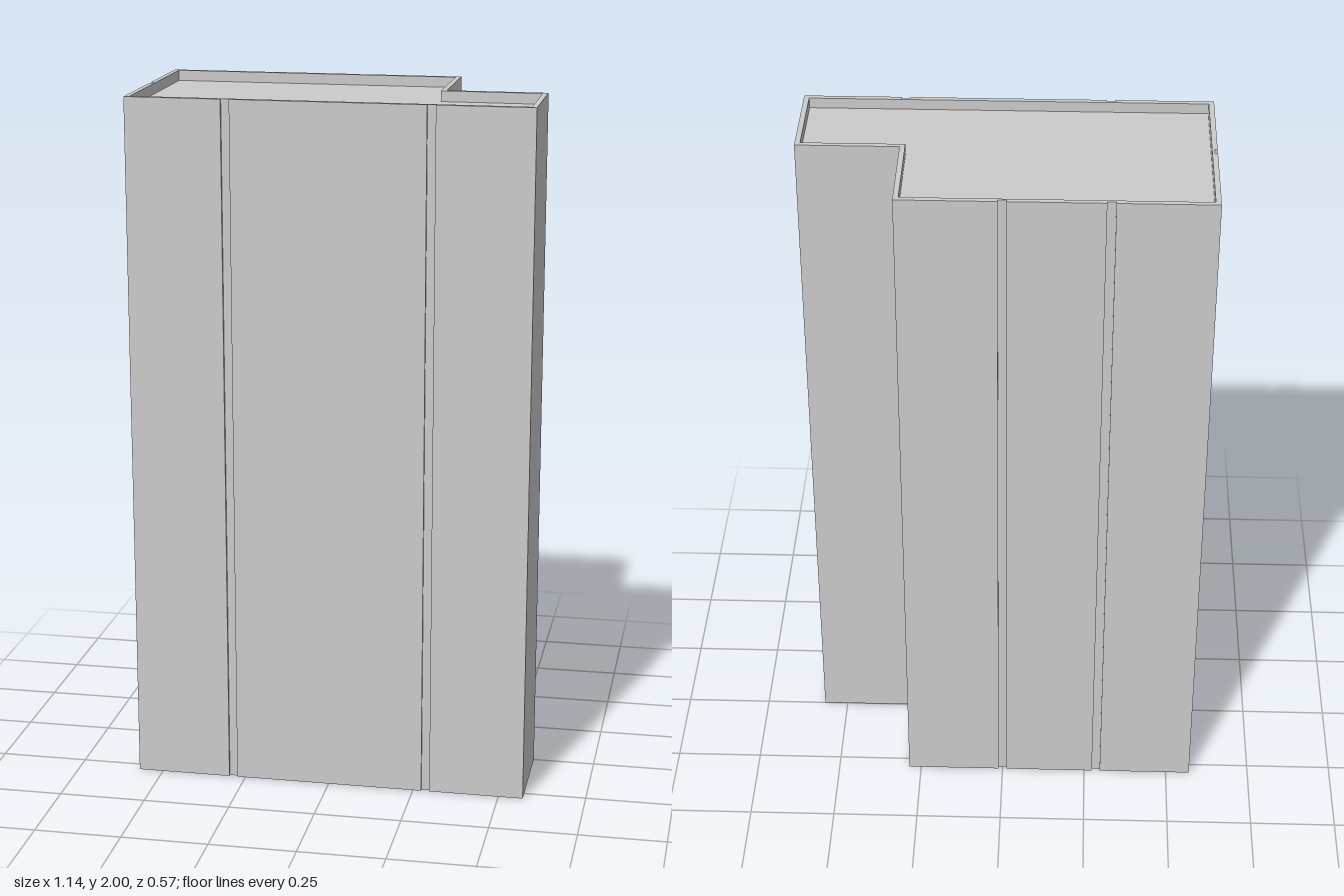
import * as THREE from 'three';

const X = 0.571, Z = 0.286, H = 2;
const STEP_X = 0.286, STEP_Z = 0;      // inner corner of the L-shaped plan
const WALL = 0.015, ROOF_DEPTH = 0.03; // parapet
const GROOVE_W = 0.024, GROOVE_D = 0.008;

// L-shaped plan as [x, z] corners, inset by d
const plan = (d) => [
  [-X + d, Z - d], [X - d, Z - d], [X - d, STEP_Z + d],
  [STEP_X - d, STEP_Z + d], [STEP_X - d, -Z + d], [-X + d, -Z + d],
];

// Groove centres, as distance along each wall (keyed by wall's first corner)
const grooves = {
  0: [X - 0.286, X + 0.286],          // front
  4: [STEP_X, STEP_X + 0.286],        // back
  5: [Z],                             // left-hand end
};

// Walk the plan, cutting a shallow notch at each groove
function groovedOutline() {
  const corners = plan(0), pts = [];
  corners.forEach(([x, z], i) => {
    const [nx, nz] = corners[(i + 1) % corners.length];
    const len = Math.hypot(nx - x, nz - z);
    const dx = (nx - x) / len, dz = (nz - z) / len;
    const at = (t, depth) => pts.push(new THREE.Vector2(x + dx * t + dz * depth, -(z + dz * t - dx * depth)));
    at(0, 0);
    for (const t of grooves[i] ?? []) {
      at(t - GROOVE_W / 2, 0);
      at(t - GROOVE_W / 2, GROOVE_D);
      at(t + GROOVE_W / 2, GROOVE_D);
      at(t + GROOVE_W / 2, 0);
    }
  });
  return pts;
}

// Extrude a plan shape upwards from y0 to y1
function storey(name, shape, y0, y1, material) {
  const geo = new THREE.ExtrudeGeometry(shape, { depth: y1 - y0, bevelEnabled: false });
  geo.rotateX(-Math.PI / 2).translate(0, y0, 0);
  const mesh = new THREE.Mesh(geo, material);
  mesh.name = name;
  return mesh;
}

export function createModel() {
  const group = new THREE.Group();
  group.name = 'towerBlock';
  const material = new THREE.MeshStandardMaterial({ color: 0xcccccc });

  // Solid tower up to the flat roof
  const body = new THREE.Shape(groovedOutline());
  group.add(storey('towerBody', body, 0, H - ROOF_DEPTH, material));

  // Low parapet wall around the roof
  const rim = new THREE.Shape(groovedOutline());
  rim.holes.push(new THREE.Path(plan(WALL).map(([x, z]) => new THREE.Vector2(x, -z))));
  group.add(storey('parapet', rim, H - ROOF_DEPTH, H, material));

  return group;
}
